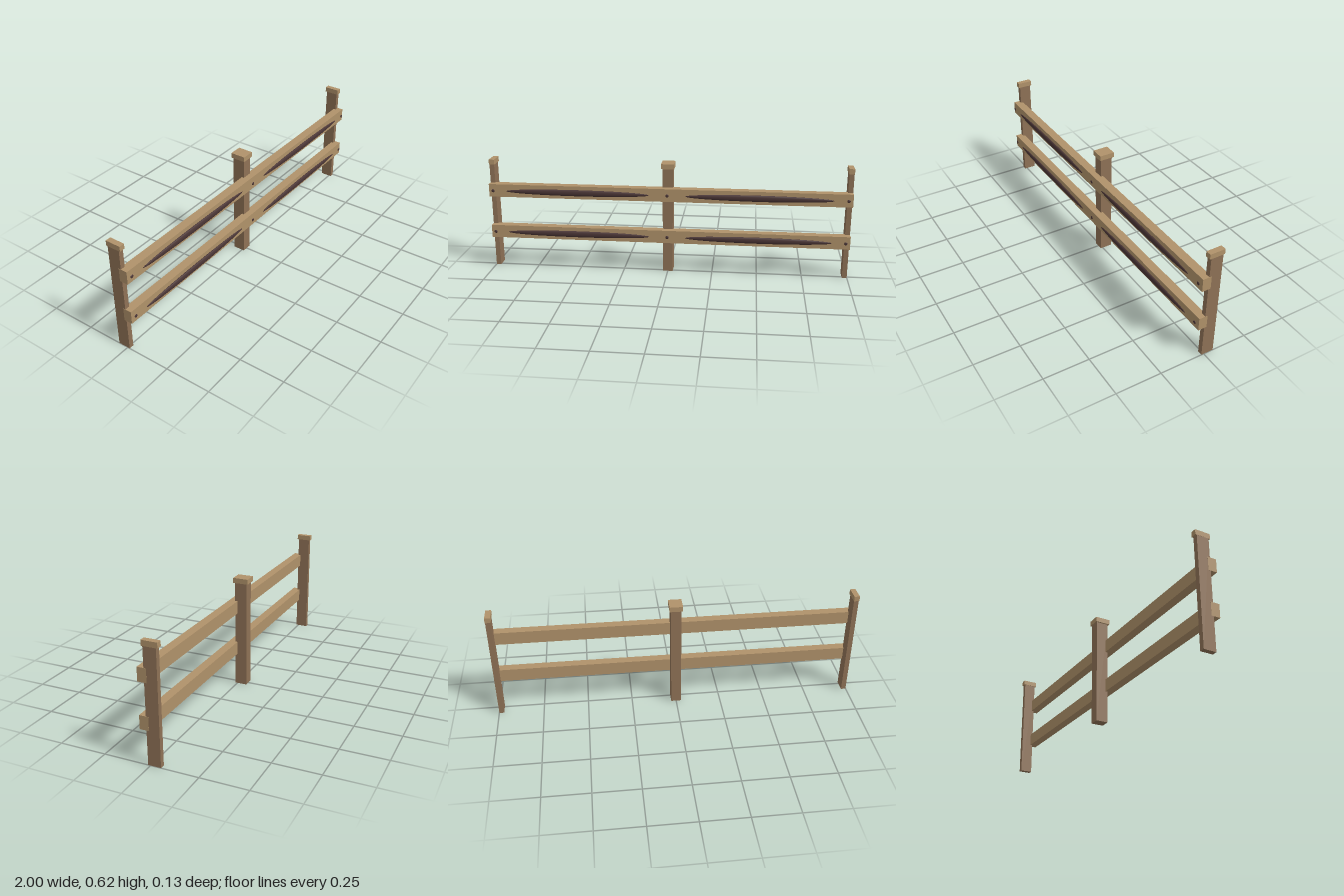
import * as THREE from 'three';

export function createModel() {
  const fence = new THREE.Group();
  fence.name = 'fence';
  const mat = (name, color) => {
    const m = new THREE.MeshStandardMaterial({ color });
    m.name = name;
    return m;
  };
  const lightWood = mat('lightWood', 0xb0926a);
  const postWood = mat('postWood', 0x8f7256);
  const darkWood = mat('darkWood', 0x4a3535);

  // Box given by its limits on each axis
  const block = (name, material, [x0, x1], [y0, y1], [z0, z1]) => {
    const mesh = new THREE.Mesh(new THREE.BoxGeometry(x1 - x0, y1 - y0, z1 - z0), material);
    mesh.position.set((x0 + x1) / 2, (y0 + y1) / 2, (z0 + z1) / 2);
    mesh.name = name;
    fence.add(mesh);
  };
  const ball = new THREE.SphereGeometry(1, 32, 16);
  const ellipsoid = (name, x, y, rx, ry, rz) => {
    const mesh = new THREE.Mesh(ball, darkWood);
    mesh.position.set(x, y, 0.055);
    mesh.scale.set(rx, ry, rz);
    mesh.name = name;
    fence.add(mesh);
  };

  // Full post in the middle, half posts at the ends, each with a cap
  const posts = [
    ['left', [0.973, 0.9995], [0.97, 1]],
    ['middle', [-0.028, 0.028], [-0.036, 0.036]],
    ['right', [-0.9995, -0.973], [-1, -0.97]],
  ];
  for (const [side, postX, capX] of posts) {
    block(side + 'Post', postWood, postX, [0, 0.598], [-0.055, 0.013]);
    block(side + 'Cap', lightWood, capX, [0.597, 0.625], [-0.063, 0.021]);
  }

  // Two rails with long dark inlays and bolt heads on the front
  for (const [level, y] of [['lower', 0.216], ['upper', 0.456]]) {
    block(level + 'Rail', lightWood, [-1, 1], [y - 0.036, y + 0.036], [0, 0.048]);
    for (const x of [-0.5, 0.5]) ellipsoid(level + 'Inlay', x, y, 0.4, 0.0175, 0.0085);
    for (const x of [-0.975, 0, 0.975]) ellipsoid(level + 'Bolt', x, y, 0.009, 0.009, 0.003);
  }
  return fence;
}
